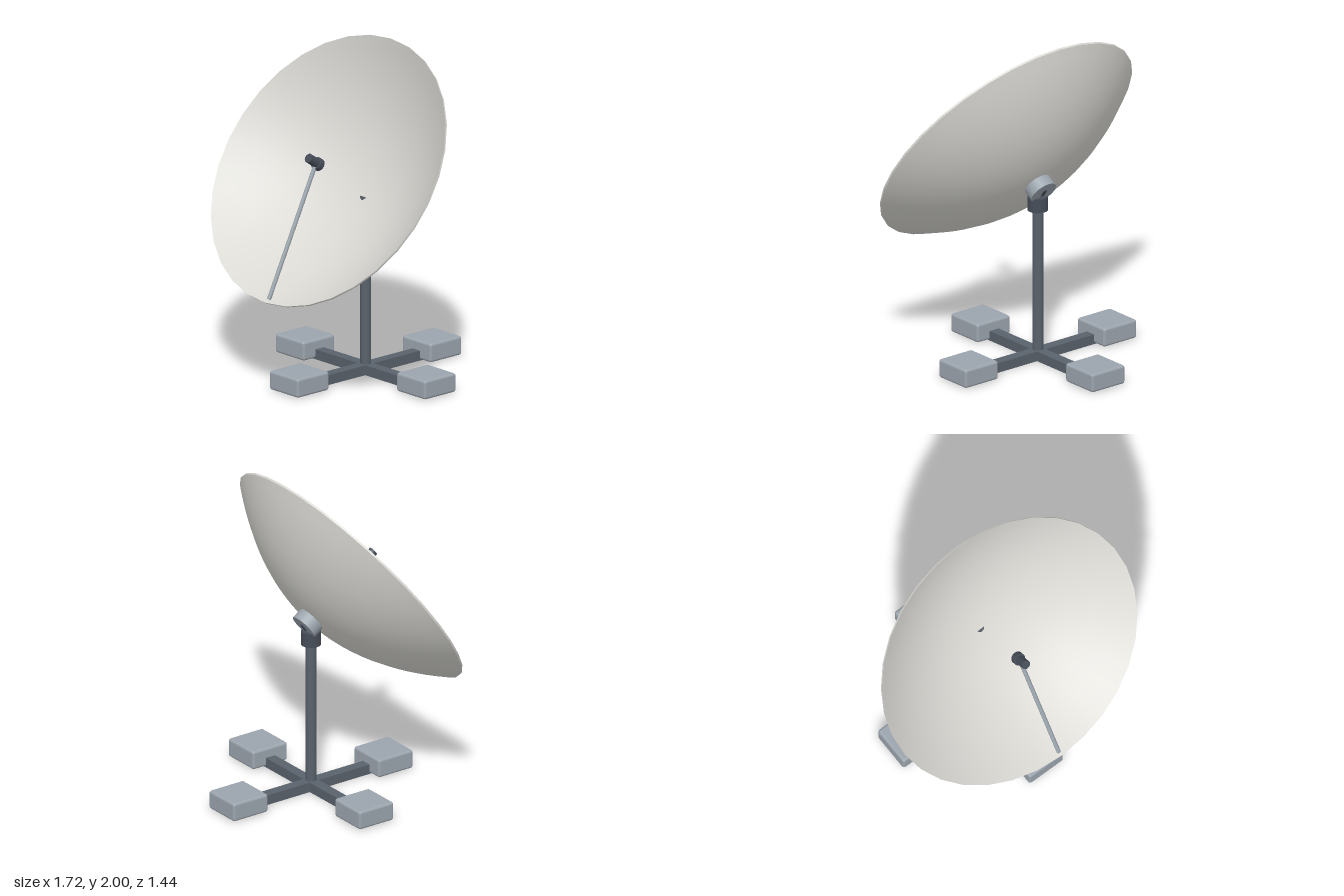
import * as THREE from 'three';
import { RoundedBoxGeometry } from 'three/addons/geometries/RoundedBoxGeometry.js';

const mat = (name, color) => {
  const m = new THREE.MeshStandardMaterial({ color });
  m.name = name;
  return m;
};

export function createModel() {
  const shell = mat('warm white', 0xd9d8d3);
  const pale = mat('pale steel', 0x9ba4ad);
  const steel = mat('dark steel', 0x59616b);
  const dark = mat('charcoal', 0x464d58);

  const model = new THREE.Group();
  model.name = 'satelliteDish';
  const add = (parent, name, geometry, material, x = 0, y = 0, z = 0) => {
    const mesh = new THREE.Mesh(geometry, material);
    mesh.name = name;
    mesh.position.set(x, y, z);
    parent.add(mesh);
    return mesh;
  };
  // Cylinder spanning from y0 to y1 in its parent's frame
  const post = (parent, name, radius, y0, y1, material, sides = 24) =>
    add(parent, name, new THREE.CylinderGeometry(radius, radius, y1 - y0, sides), material, 0, (y0 + y1) / 2, 0);

  // Cross-shaped base with ballast blocks
  const stand = new THREE.Group();
  stand.name = 'stand';
  stand.position.z = -0.07;
  model.add(stand);
  add(stand, 'crossBarX', new THREE.BoxGeometry(1.1, 0.06, 0.066), steel, 0, 0.03, 0);
  add(stand, 'crossBarZ', new THREE.BoxGeometry(0.066, 0.06, 1.1), steel, 0, 0.03, 0);
  for (let i = 0; i < 4; i++) {
    const a = i * Math.PI / 2;
    add(stand, 'ballastBlock', new RoundedBoxGeometry(0.25, 0.115, 0.25, 3, 0.016), pale,
      0.525 * Math.cos(a), 0.0625, 0.525 * Math.sin(a));
  }

  // Mast and its collar
  post(stand, 'mast', 0.032, 0.05, 1.08, steel);
  post(stand, 'mastCollar', 0.06, 0.93, 1.015, dark);

  // Tilted reflector assembly: local y is the dish axis, origin at its deepest point
  const tilt = THREE.MathUtils.degToRad(55);
  const head = new THREE.Group();
  head.name = 'dishHead';
  head.position.set(0, 1.094, -0.061);
  head.rotation.x = tilt;
  model.add(head);

  // Parabolic bowl: concave front, convex back and rim edge
  const R = 0.861, depth = 0.35, thick = 0.012, steps = 16;
  const curve = (offset) => Array.from({ length: steps + 1 }, (_, i) => {
    const t = i / steps;
    return new THREE.Vector2(R * t, depth * t * t + offset);
  });
  add(head, 'dishFront', new THREE.LatheGeometry(curve(0).reverse(), 32), shell);
  add(head, 'dishBack', new THREE.LatheGeometry(curve(-thick), 32), shell);
  const rim = [new THREE.Vector2(R, depth - thick), new THREE.Vector2(R, depth)];
  add(head, 'dishRim', new THREE.LatheGeometry(rim, 32), shell);

  // Mounting hub behind the bowl
  post(head, 'hub', 0.085, -0.076, -0.004, pale);
  add(head, 'hubBracket', new THREE.BoxGeometry(0.025, 0.008, 0.05), dark, 0, -0.077, 0);

  // Feed horn at the focus, with a wider mouth facing the bowl
  post(head, 'feedBody', 0.028, 0.45, 0.54, dark);
  post(head, 'feedMouth', 0.038, 0.434, 0.465, dark);

  // Feed arm from the lower rim up to the feed
  const from = new THREE.Vector3(0, 0.605, 0.695);
  const to = new THREE.Vector3(0, 1.355, 0.325);
  const arm = add(model, 'feedArm', new THREE.CylinderGeometry(0.013, 0.013, from.distanceTo(to), 12), pale);
  arm.position.copy(from).lerp(to, 0.5);
  arm.quaternion.setFromUnitVectors(new THREE.Vector3(0, 1, 0), to.clone().sub(from).normalize());

  return model;
}
